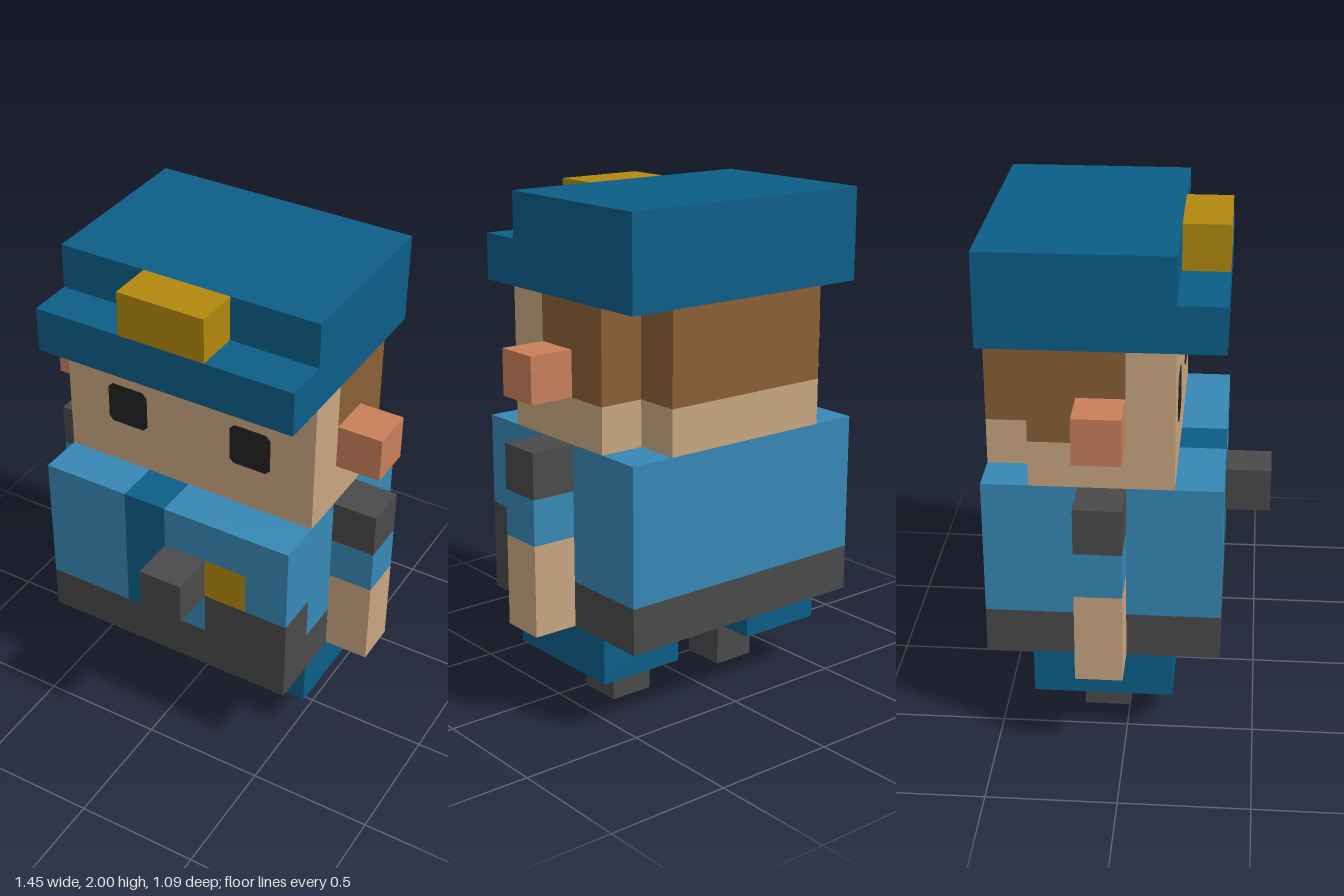
import * as THREE from 'three';

const U = 2 / 11; // one block of the grid

function mat(name, color) {
  const m = new THREE.MeshStandardMaterial({ color });
  m.name = name;
  return m;
}

export function createModel() {
  const navy = mat('navy', 0x0c5e88), blue = mat('jacket blue', 0x3788b6);
  const skin = mat('skin', 0xc9a680), earPink = mat('ear pink', 0xc97f5b);
  const hair = mat('hair brown', 0x8a5f35), dark = mat('charcoal', 0x4a4a4a);
  const gold = mat('gold', 0xb1880d), black = mat('eye black', 0x222222);

  const model = new THREE.Group();
  model.name = 'officer';

  // Box between two grid corners, given as ranges in blocks
  function block(name, material, [x0, x1], [y0, y1], [z0, z1]) {
    const g = new THREE.BoxGeometry((x1 - x0) * U, (y1 - y0) * U, (z1 - z0) * U);
    const mesh = new THREE.Mesh(g, material);
    mesh.position.set((x0 + x1) * U / 2, (y0 + y1) * U / 2, (z0 + z1) * U / 2);
    mesh.name = name;
    model.add(mesh);
    return mesh;
  }

  // Eye plate: a square with slightly clipped corners
  const h = U / 2 - 0.004, c = h - 0.018;
  const eyeShape = new THREE.Shape([
    [-c, -h], [c, -h], [h, -c], [h, c], [c, h], [-c, h], [-h, c], [-h, -c],
  ].map(([x, y]) => new THREE.Vector2(x, y)));
  const eyeGeometry = new THREE.ExtrudeGeometry(eyeShape, { depth: 0.004, bevelEnabled: false });

  // Mirrored parts: feet, legs, arms, ears, eyes
  for (const [side, s] of [['left', 1], ['right', -1]]) {
    const span = (a, b) => (s > 0 ? [a, b] : [-b, -a]);
    block(side + 'Foot', dark, span(1, 2), [0, 1], [-1, 0]);
    block(side + 'Leg', navy, span(1, 3), [1, 2], [-2, 1]);
    block(side + 'Forearm', skin, span(3, 4), [2, 4], [-1, 0]);
    block(side + 'Sleeve', blue, span(3, 4), [4, 5], [-1, 0]);
    block(side + 'Shoulder', dark, span(3, 4), [5, 6], [-1, 0]);
    block(side + 'Ear', earPink, span(3, 4), [7, 8], [-1, 0]);
    const eye = new THREE.Mesh(eyeGeometry, black);
    eye.position.set(s * 1.5 * U, 7.5 * U, U);
    eye.name = side + 'Eye';
    model.add(eye);
  }

  // Torso, with the front layer of the jacket built around its details
  block('belt', dark, [-3, 3], [2, 3], [-3, 2]);
  block('jacketBack', blue, [-3, 3], [3, 6], [-3, 1]);
  block('jacketFrontRight', blue, [-3, -1], [3, 6], [1, 2]);
  block('tie', navy, [-1, 0], [3, 6], [1, 2]);
  block('jacketFrontMiddle', blue, [0, 1], [3, 6], [1, 2]);
  block('jacketFrontLeft', blue, [1, 3], [5, 6], [1, 2]);
  block('jacketFrontSide', blue, [2, 3], [4, 5], [1, 2]);
  block('chestBadge', gold, [1, 2], [4, 5], [1, 2]);
  block('holster', dark, [1, 3], [3, 4], [1, 2]);
  block('radio', dark, [0, 1], [4, 5], [2, 3]);

  // Head: face in front, hair behind, back layer narrower
  block('neck', skin, [-3, 3], [6, 7], [-2, 1]);
  block('neckBack', skin, [-2, 2], [6, 7], [-3, -2]);
  block('face', skin, [-3, 3], [7, 9], [0, 1]);
  block('hair', hair, [-3, 3], [7, 9], [-2, 0]);
  block('hairBack', hair, [-2, 2], [7, 9], [-3, -2]);

  // Cap
  block('capBrim', navy, [-3, 3], [9, 10], [-3, 2]);
  block('capCrown', navy, [-3, 3], [10, 11], [-3, 1]);
  block('capBadge', gold, [-1, 1], [10, 11], [1, 2]);

  return model;
}
